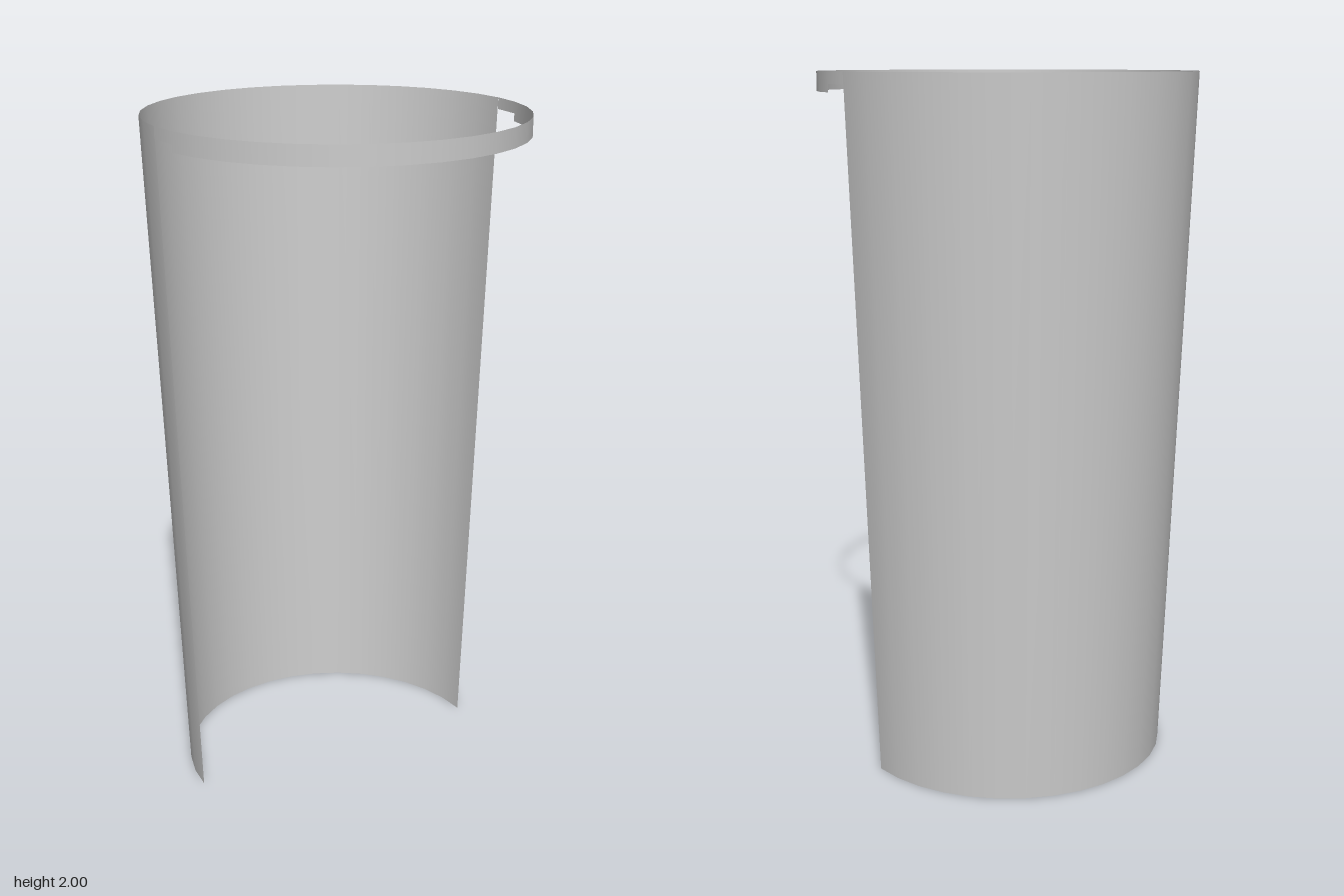
import * as THREE from 'three';

const TOP_R = 0.537, BOTTOM_R = 0.463, HEIGHT = 2;
const STEP = Math.PI / 18; // one facet of a 36-sided round

export function createModel() {
  const group = new THREE.Group();
  const material = new THREE.MeshStandardMaterial({ color: 0xcccccc, side: THREE.DoubleSide });

  // Thin open wall spanning whole facets, from y0 up to the rim
  function wall(name, rTop, rBottom, y0, firstFacet, facets) {
    const h = HEIGHT - y0;
    const geometry = new THREE.CylinderGeometry(rTop, rBottom, h, facets, 1, true, firstFacet * STEP, facets * STEP);
    const mesh = new THREE.Mesh(geometry, material);
    mesh.name = name;
    mesh.position.y = y0 + h / 2;
    group.add(mesh);
  }

  // Tapered half shell at the back
  wall('backShell', TOP_R, BOTTOM_R, 0, 9, 18);

  // Upright hoop closing the front of the rim
  wall('frontHoop', TOP_R, TOP_R, 1.945, -8, 16);

  // Narrower tabs joining the hoop to the shell
  wall('leftHoopTab', TOP_R, TOP_R, 1.967, 8, 1);
  wall('rightHoopTab', TOP_R, TOP_R, 1.967, -9, 1);

  return group;
}
